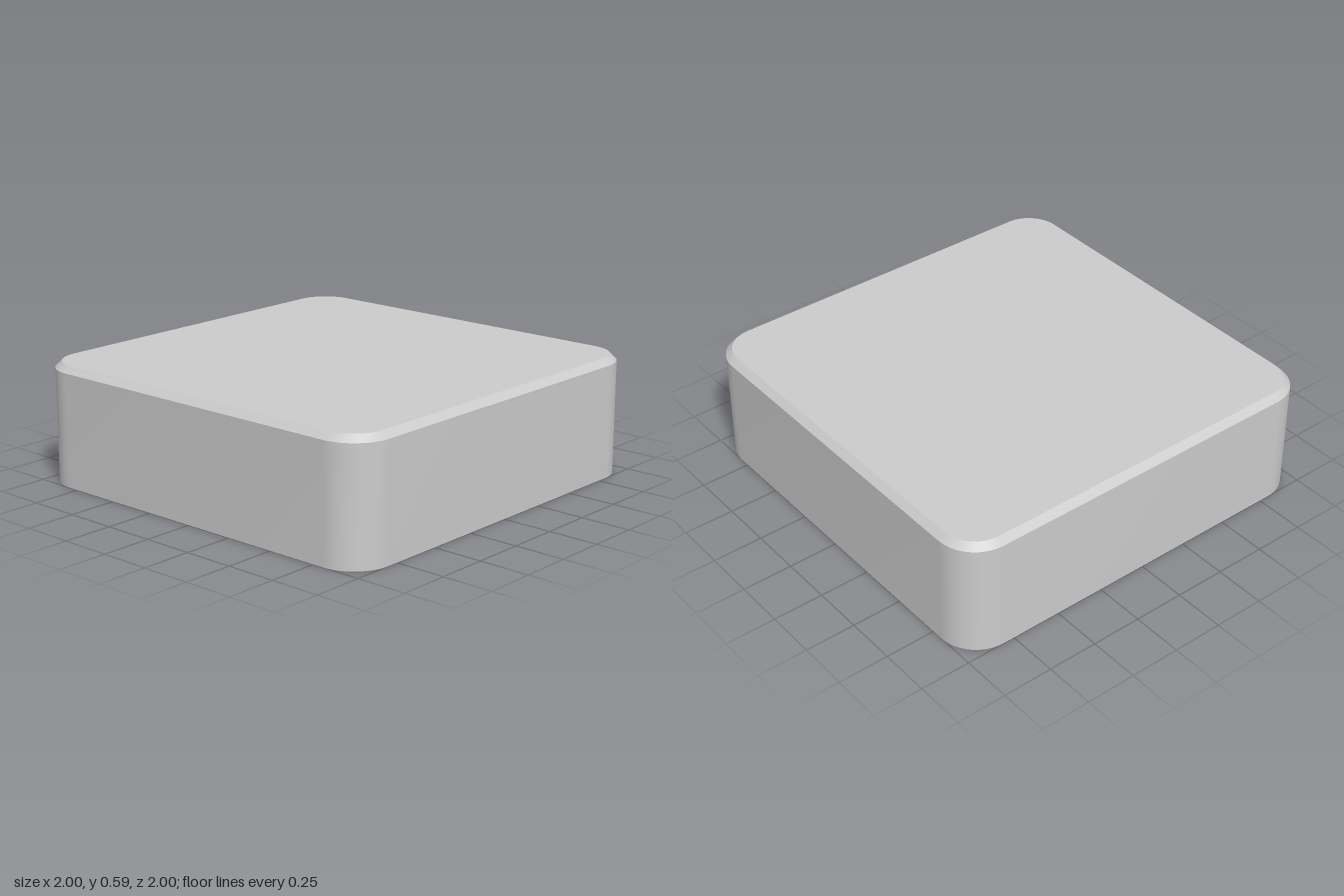
import * as THREE from 'three';
import { toCreasedNormals } from 'three/addons/utils/BufferGeometryUtils.js';

const HEIGHT = 0.59, CEILING = 0.545, WALL = 0.08, CHAMFER = 0.032, RADIUS = 0.195;
const POST_BOTTOM = 0.04, CORNER_STEPS = 16;

// Outline of a rounded square, inset from the outer wall, at height y
function ring(inset, y) {
  const points = [], c = 1 - RADIUS, r = RADIUS - inset;
  for (let q = 0; q < 4; q++) {
    const sx = q === 0 || q === 3 ? 1 : -1, sz = q < 2 ? 1 : -1;
    for (let i = 0; i <= CORNER_STEPS; i++) {
      const a = (q + i / CORNER_STEPS) * Math.PI / 2;
      points.push([sx * c + r * Math.cos(a), y, sz * c + r * Math.sin(a)]);
    }
  }
  return points;
}

// Skin the rings in order and close both ends with a fan
function loft(rings) {
  const pos = [], n = rings[0].length;
  const first = rings[0], last = rings[rings.length - 1];
  for (let j = 0; j < n; j++) {
    const k = (j + 1) % n;
    pos.push(0, first[0][1], 0, ...first[j], ...first[k]);
    for (let i = 0; i < rings.length - 1; i++) {
      const a = rings[i], b = rings[i + 1];
      pos.push(...a[j], ...b[j], ...a[k], ...b[j], ...b[k], ...a[k]);
    }
    pos.push(...last[j], 0, last[0][1], 0, ...last[k]);
  }
  const g = new THREE.BufferGeometry();
  g.setAttribute('position', new THREE.Float32BufferAttribute(pos, 3));
  return toCreasedNormals(g, 0.5);
}

function lathe(profile) {
  const pts = profile.map(([r, y]) => new THREE.Vector2(r, y));
  return toCreasedNormals(new THREE.LatheGeometry(pts, 40), 0.5);
}

export function createModel() {
  const group = new THREE.Group();
  group.name = 'enclosure';
  const grey = new THREE.MeshStandardMaterial({ color: 0xcccccc });
  grey.name = 'grey plastic';

  const add = (name, geometry, x = 0, z = 0) => {
    const mesh = new THREE.Mesh(geometry, grey);
    mesh.name = name;
    mesh.position.set(x, 0, z);
    group.add(mesh);
  };

  // Hollow shell: ceiling, inner wall, rim, outer wall, chamfer, top
  add('shell', loft([
    ring(WALL, CEILING), ring(WALL, 0), ring(0, 0),
    ring(0, HEIGHT - CHAMFER), ring(CHAMFER, HEIGHT),
  ]));

  // Hollow screw posts in the four corners, set back from the rim
  const post = lathe([
    [0.058, CEILING], [0.058, POST_BOTTOM], [0.097, POST_BOTTOM], [0.097, CEILING],
  ]);
  for (const x of [-0.8, 0.8]) for (const z of [-0.8, 0.8]) add('screwPost', post, x, z);

  // Small stud under the ceiling
  add('ceilingStud', lathe([[0, CEILING - 0.02], [0.033, CEILING - 0.02], [0.033, CEILING]]), -0.14, 0.28);

  return group;
}
